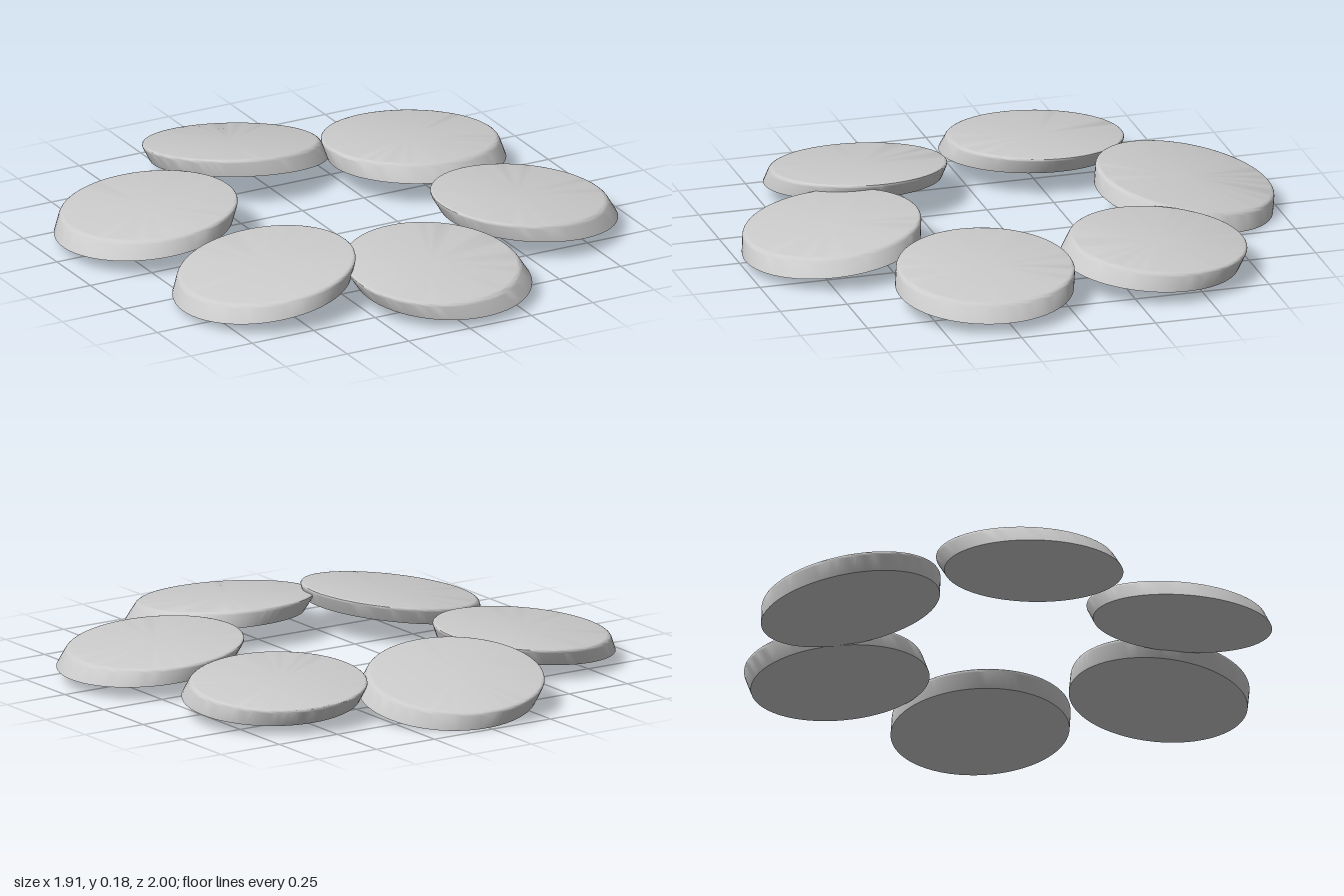
import * as THREE from 'three';
import { toCreasedNormals } from 'three/addons/utils/BufferGeometryUtils.js';

const RADIUS = 0.32, THICK = 0.065, BEVEL = 0.014;

// Disc profile: flat sharp base, softly rounded top rim
function discProfile() {
  const h = THICK / 2;
  const pts = [new THREE.Vector2(0, -h), new THREE.Vector2(RADIUS, -h)];
  for (let i = 0; i <= 4; i++) {
    const a = (i / 4) * Math.PI / 2;
    pts.push(new THREE.Vector2(RADIUS - BEVEL + BEVEL * Math.cos(a), h - BEVEL + BEVEL * Math.sin(a)));
  }
  pts.push(new THREE.Vector2(0, h));
  return pts;
}

// Each disc: centre, slope of its face (rise per unit x, z), and sideways lean of base to top
const discs = [
  { name: 'backDisc',       at: [-0.045, 0.092, -0.675], slope: [-0.07, 0.17],  lean: [-0.03, -0.015] },
  { name: 'backLeftDisc',   at: [0.525, 0.095, -0.39],   slope: [-0.04, 0.07],  lean: [-0.01, -0.04] },
  { name: 'frontLeftDisc',  at: [0.615, 0.1, 0.27],      slope: [-0.08, 0],     lean: [-0.035, -0.015] },
  { name: 'frontDisc',      at: [0.045, 0.096, 0.67],    slope: [0, -0.1],      lean: [-0.04, -0.015] },
  { name: 'frontRightDisc', at: [-0.515, 0.098, 0.41],   slope: [0.13, 0],      lean: [0.03, -0.015] },
  { name: 'backRightDisc',  at: [-0.62, 0.096, -0.28],   slope: [0.08, 0.03],   lean: [0.035, -0.02] },
];

export function createModel() {
  const group = new THREE.Group();
  group.name = 'discRing';
  const material = new THREE.MeshStandardMaterial({ color: 0xcccccc });
  const profile = discProfile();

  for (const { name, at, slope, lean } of discs) {
    // Tilt and lean the disc with one shear, keeping it round from above
    const shear = new THREE.Matrix4().set(
      1, lean[0] / THICK, 0, 0,
      slope[0], 1, slope[1], 0,
      0, lean[1] / THICK, 1, 0,
      0, 0, 0, 1);
    const geometry = new THREE.LatheGeometry(profile, 64).applyMatrix4(shear);
    const disc = new THREE.Mesh(toCreasedNormals(geometry, 0.65), material);
    disc.name = name;
    disc.position.set(...at);
    group.add(disc);
  }
  return group;
}
